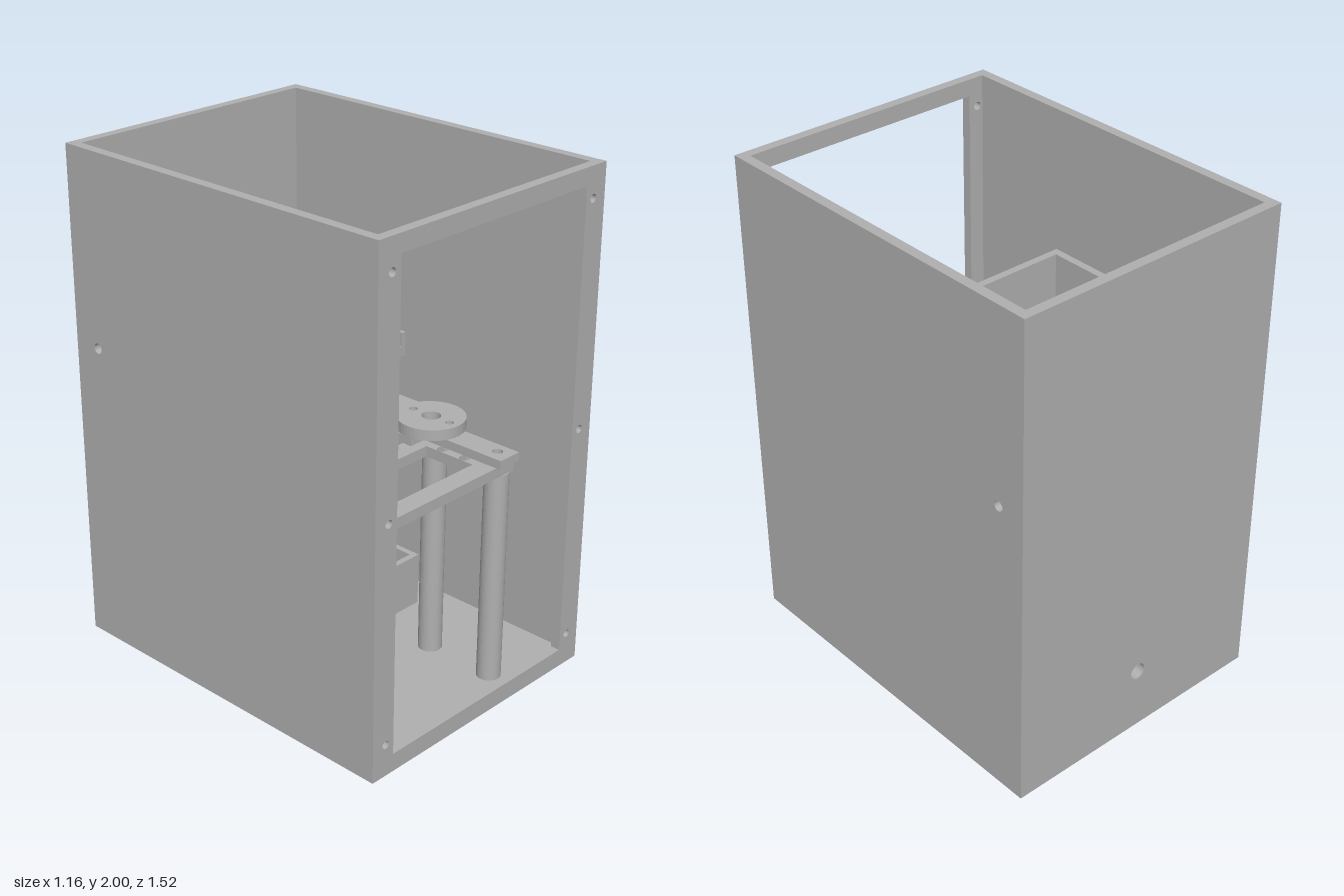
import * as THREE from 'three';

const grey = new THREE.MeshStandardMaterial({ color: 0xb0b0b0 });
grey.name = 'plain grey';

// Closed rectangle outline; works for shapes and holes
function rect(P, x0, y0, x1, y1) {
  const p = new P();
  p.moveTo(x0, y0); p.lineTo(x1, y0); p.lineTo(x1, y1); p.lineTo(x0, y1); p.closePath();
  return p;
}
function circle(P, x, y, r) {
  const p = new P();
  p.absarc(x, y, r, 0, Math.PI * 2, false);
  return p;
}
// Rounded slot lying along the first axis
function slot(x, y, half, r) {
  const p = new THREE.Path();
  p.absarc(x + half, y, r, -Math.PI / 2, Math.PI / 2, false);
  p.absarc(x - half, y, r, Math.PI / 2, Math.PI * 1.5, false);
  p.closePath();
  return p;
}
const hole = (x, y, r) => circle(THREE.Path, x, y, r);
const extrude = (shape, holes, depth) => {
  shape.holes.push(...holes);
  return new THREE.ExtrudeGeometry(shape, { depth, bevelEnabled: false, curveSegments: 20 });
};

export function createModel() {
  const model = new THREE.Group();
  const add = (name, geo, parent = model) => {
    const m = new THREE.Mesh(geo, grey);
    m.name = name;
    parent.add(m);
    return m;
  };
  const group = (name) => {
    const g = new THREE.Group();
    g.name = name;
    model.add(g);
    return g;
  };
  // Box from its limits
  const box = (name, x0, x1, y0, y1, z0, z1, parent) =>
    add(name, new THREE.BoxGeometry(x1 - x0, y1 - y0, z1 - z0)
      .translate((x0 + x1) / 2, (y0 + y1) / 2, (z0 + z1) / 2), parent);
  // Outlines drawn as (x, z), raised from y0 to y1; z is negated in the outline
  const flat = (name, shape, holes, y0, y1, parent) =>
    add(name, extrude(shape, holes, y1 - y0).rotateX(-Math.PI / 2).translate(0, y0, 0), parent);
  // Outlines drawn as (x, y), from z0 to z1
  const upright = (name, shape, holes, z0, z1, parent) =>
    add(name, extrude(shape, holes, z1 - z0).translate(0, 0, z0), parent);
  // Outlines drawn as (z, y), from x0 to x1
  const sideways = (name, shape, holes, x0, x1, parent) =>
    add(name, extrude(shape, holes, x1 - x0).rotateY(-Math.PI / 2).translate(x1, 0, 0), parent);
  // Open-topped tray
  const tray = (name, x0, x1, y0, y1, z0, z1, t) => {
    const g = group(name);
    flat(name + 'Walls', rect(THREE.Shape, x0, -z1, x1, -z0),
      [rect(THREE.Path, x0 + t, -z1 + t, x1 - t, -z0 - t)], y0 + t, y1, g);
    box(name + 'Floor', x0, x1, y0, y0 + t, z0, z1, g);
  };

  const W = 0.58, D = 0.76, T = 0.04;
  const posts = [];
  for (const x of [-0.417, 0.195]) for (const z of [0.345, 0.64]) posts.push([x, z]);
  const postHoles = () => posts.map(([x, z]) => hole(x, -z, 0.02));

  // Open-topped case with a framed front window
  const housing = group('case');
  const screws = [];
  for (const x of [-0.515, 0.515]) for (const y of [0.13, 1, 1.88]) screws.push(hole(x, y, 0.016));
  upright('frontFrame', rect(THREE.Shape, -W, 0, W, 2),
    [rect(THREE.Path, -0.475, 0.073, 0.475, 1.932), ...screws], D - T, D, housing);
  upright('backWall', rect(THREE.Shape, -W, 0, W, 2), [hole(0, 0.265, 0.034)], -D, -D + T, housing);
  for (const [name, x0] of [['rightWall', -W], ['leftWall', W - T]])
    sideways(name, rect(THREE.Shape, -D + T, 0, D - T, 2), [hole(-0.64, 1.24, 0.02)], x0, x0 + T, housing);
  flat('floor', rect(THREE.Shape, -W + T, -D + T, W - T, D - T), postHoles(), 0, T, housing);

  // Hollow posts and the platform they carry
  const stand = group('stand');
  for (const [x, z] of posts)
    flat('post', circle(THREE.Shape, x, -z, 0.047), [hole(x, -z, 0.02)], T, 0.903, stand);
  const slots = [];
  for (const x of [-0.37, 0.14]) for (const z of [0.44, 0.545]) slots.push(slot(x, -z, 0.015, 0.02));
  flat('platform', rect(THREE.Shape, -0.463, -0.68, 0.24, -0.3),
    [rect(THREE.Path, -0.325, -0.6, 0.105, -0.38), ...slots, ...postHoles()], 0.903, 0.945, stand);

  // Side strip on the platform with an upright for the tray shelf
  const bracket = group('bracket');
  const strip = new THREE.Shape();
  [[0.14, -0.7], [0.243, -0.7], [0.243, -0.09], [0.065, -0.09], [0.065, -0.34], [0.14, -0.34]]
    .forEach(([x, y], i) => (i ? strip.lineTo(x, y) : strip.moveTo(x, y)));
  strip.closePath();
  flat('bracketStrip', strip, posts.slice(2).map(([x, z]) => hole(x, -z, 0.02)), 0.945, 0.98, bracket);
  box('bracketUpright', 0.065, 0.1, 0.98, 1.19, 0.04, 0.185, bracket);
  box('trayShelf', 0.14, 0.335, 1.145, 1.185, -0.53, 0.065, bracket);

  // Upper bin and lower collecting box
  tray('upperBin', -0.315, 0.31, 1.195, 1.595, -0.58, 0.05, 0.03);
  tray('lowerBox', -0.41, 0.41, T, 0.26, -0.62, 0.09, 0.025);

  // Hinge tube with sleeves, clips and wall mounts
  const hinge = group('hinge');
  const tube = (name, x0, x1, r, inner) =>
    sideways(name, circle(THREE.Shape, -0.643, 1.185, r), [hole(-0.643, 1.185, inner)], x0, x1, hinge);
  tube('hingeTube', -0.345, 0.345, 0.048, 0.042);
  for (const s of [-1, 1]) {
    const span = (a, b) => (s > 0 ? [a, b] : [-b, -a]);
    tube('hingeSleeve', ...span(0.345, 0.475), 0.07, 0.048);
    box('hingeClip', ...span(0.28, 0.417), 1.24, 1.333, -0.655, -0.53, hinge);
    box('wallMount', ...span(0.417, 0.54), 1.24, 1.27, -0.705, -0.58, hinge);
  }
  box('leftArm', 0.315, 0.335, 1.185, 1.24, -0.53, 0.065, hinge);
  box('rightArm', -0.385, -0.335, 1.19, 1.24, -0.53, -0.05, hinge);
  flat('armEnd', rect(THREE.Shape, -0.42, -0.055, -0.316, 0.045), [hole(-0.36, -0.025, 0.01)], 1.19, 1.24, hinge);

  // Latch body with a slotted top and a bevelled bolt
  const latch = group('latch');
  box('latchBody', -0.44, -0.095, 1.113, 1.225, 0.056, 0.205, latch);
  flat('latchTop', rect(THREE.Shape, -0.44, -0.205, -0.095, -0.056),
    [slot(-0.225, -0.133, 0.05, 0.015)], 1.225, 1.255, latch);
  add('latchKnob', new THREE.CylinderGeometry(0.012, 0.012, 0.025, 16).translate(-0.17, 1.2375, 0.133), latch);
  const wedge = new THREE.Shape();
  wedge.moveTo(-0.095, 1.14); wedge.lineTo(0, 1.14); wedge.lineTo(-0.095, 1.23); wedge.closePath();
  upright('latchBolt', wedge, [], 0.09, 0.178, latch);

  // Turning lever: drilled disc with a tapering arm
  const lever = new THREE.Shape();
  const a = Math.acos(0.058 / 0.125);
  lever.absarc(0, -0.49, 0.125, Math.PI - a, Math.PI * 2 + a, false);
  lever.lineTo(0.058, -0.28);
  lever.lineTo(0.05, -0.1);
  lever.absarc(0, -0.1, 0.05, 0, Math.PI, false);
  lever.lineTo(-0.058, -0.28);
  lever.closePath();
  flat('lever', lever,
    [hole(0, -0.49, 0.035), hole(0, -0.405, 0.016), hole(0, -0.575, 0.016)], 1.097, 1.138);

  return model;
}
